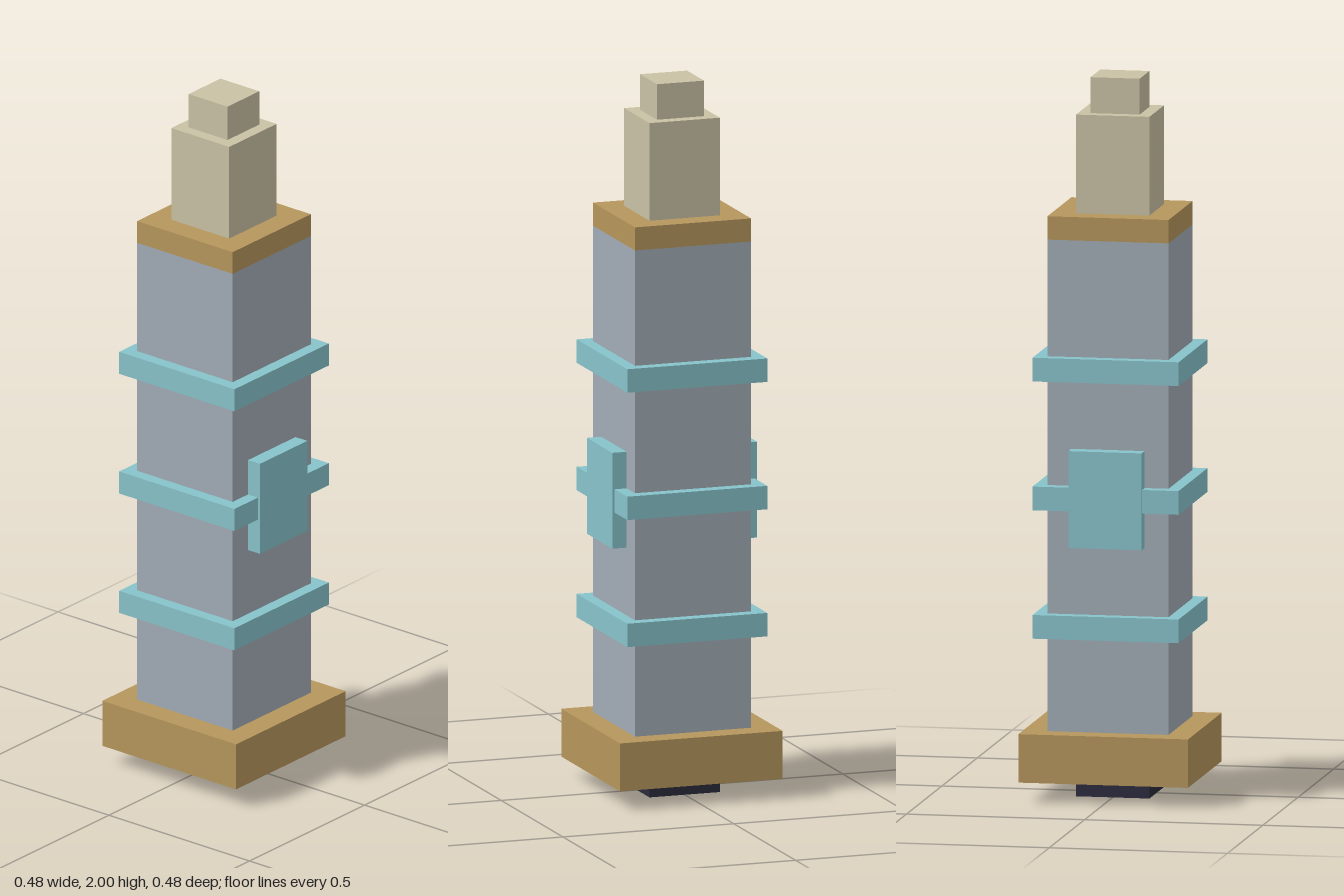
import * as THREE from 'three';

const material = (name, color) => {
  const m = new THREE.MeshStandardMaterial({ color });
  m.name = name;
  return m;
};

export function createModel() {
  const group = new THREE.Group();
  group.name = 'tower';

  const gold = material('gold', 0xb6965c);
  const grey = material('blue grey', 0xa2adb6);
  const teal = material('teal', 0x87c3cb);
  const cream = material('cream', 0xc9c2a5);
  const dark = material('dark navy', 0x2a2a3c);

  // Square block of a given half width between two heights
  const block = (name, half, y0, y1, mat) => {
    const mesh = new THREE.Mesh(new THREE.BoxGeometry(half * 2, y1 - y0, half * 2), mat);
    mesh.position.y = (y0 + y1) / 2;
    mesh.name = name;
    group.add(mesh);
    return mesh;
  };

  // Stacked body, bottom to top
  block('foot', 0.103, 0, 0.055, dark);
  block('base', 0.238, 0.055, 0.19, gold);
  block('shaft', 0.17, 0.19, 1.56, grey);
  block('cap', 0.17, 1.56, 1.625, gold);
  block('neck', 0.103, 1.625, 1.9, cream);
  block('tip', 0.069, 1.9, 2, cream);

  // Bands around the shaft
  [0.485, 0.843, 1.202].forEach((y, i) => block(`band${i + 1}`, 0.205, y - 0.033, y + 0.033, teal));

  // Raised panels on the front and back
  for (const [name, side] of [['frontPanel', 1], ['backPanel', -1]]) {
    const panel = new THREE.Mesh(new THREE.BoxGeometry(0.206, 0.27, 0.046), teal);
    panel.position.set(0, 0.844, side * 0.189);
    panel.name = name;
    group.add(panel);
  }

  return group;
}
